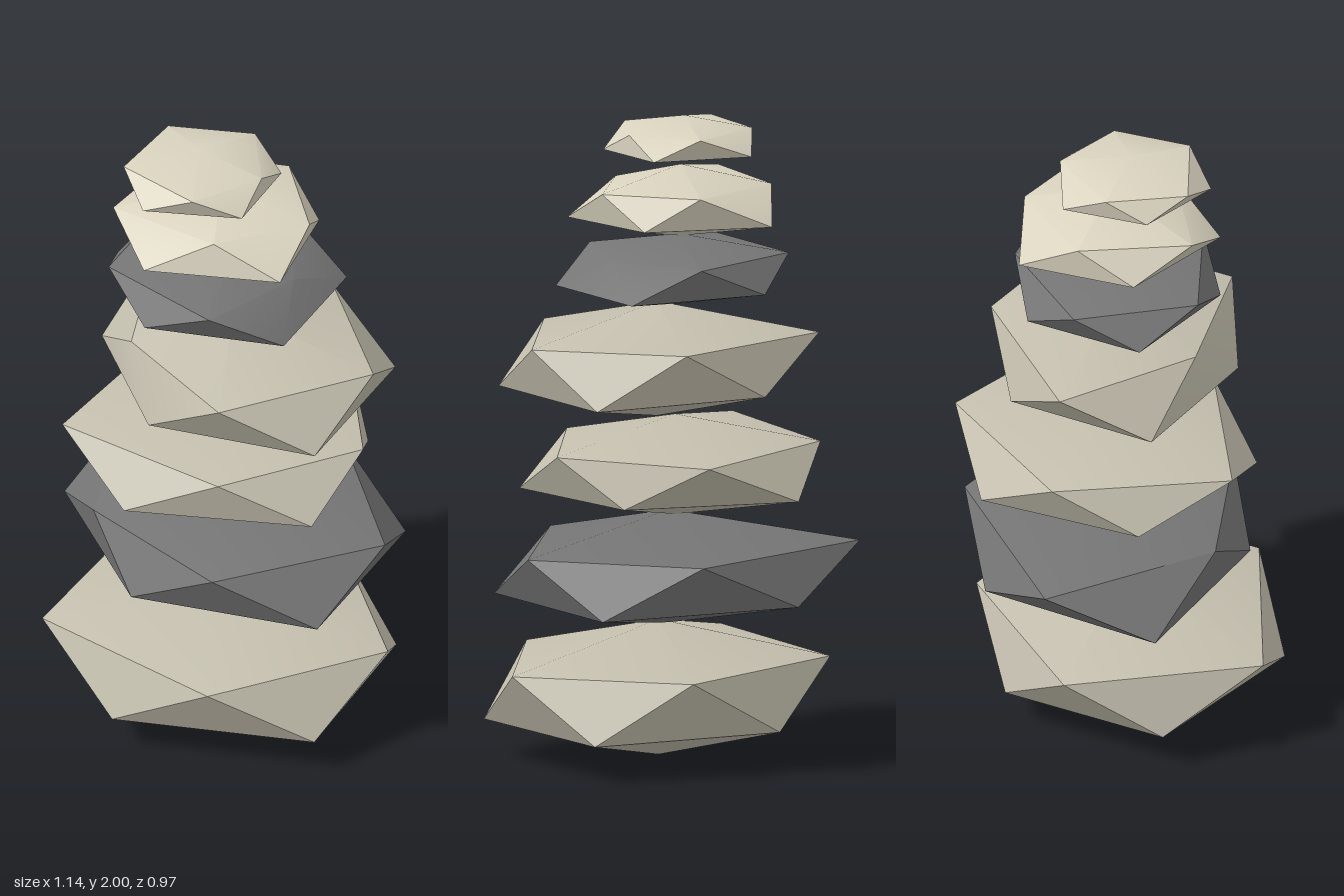
import * as THREE from 'three';
import { toCreasedNormals } from 'three/addons/utils/BufferGeometryUtils.js';

const LIGHT = 0xd8d2be, MID = 0xc4bfae, DARK = 0x757575;

// Corner directions in degrees, shared by every stone; the two rings are staggered
const UPPER = [0, 70, 146, 215, 293];
const LOWER = [33, 109, 181, 250, 328];

// Each stone: bottom and top height, centre [x, z], corner radii of the upper and lower ring
const STONES = [
  { color: MID, y: [0, 0.425], centre: [0.01, 0.03], upper: [0.56, 0.49, 0.57, 0.53, 0.47], lower: [0.54, 0.49, 0.51, 0.45, 0.53] },
  { color: DARK, y: [0.42, 0.775], centre: [0, -0.01], upper: [0.54, 0.44, 0.42, 0.59, 0.47], lower: [0.54, 0.42, 0.57, 0.48, 0.55] },
  { color: MID, y: [0.765, 1.08], centre: [0, -0.04], upper: [0.45, 0.4, 0.53, 0.45, 0.47], lower: [0.48, 0.47, 0.47, 0.46, 0.42] },
  { color: MID, y: [1.07, 1.43], centre: [0.03, 0.01], upper: [0.48, 0.42, 0.32, 0.5, 0.4], lower: [0.49, 0.37, 0.46, 0.4, 0.5] },
  { color: DARK, y: [1.42, 1.64], centre: [-0.03, -0.02], upper: [0.25, 0.33, 0.35, 0.34, 0.31], lower: [0.38, 0.33, 0.36, 0.32, 0.39] },
  { color: LIGHT, y: [1.635, 1.86], centre: [-0.03, -0.03], upper: [0.3, 0.24, 0.34, 0.28, 0.27], lower: [0.35, 0.34, 0.32, 0.34, 0.3] },
  { color: LIGHT, y: [1.855, 2], centre: [-0.08, 0.02], upper: [0.21, 0.22, 0.24, 0.21, 0.22], lower: [0.25, 0.25, 0.23, 0.25, 0.25] },
];

// A flattened, irregular twenty-sided stone
function stoneGeometry({ y: [y0, y1], centre: [cx, cz], upper, lower }) {
  const mid = (y0 + y1) / 2, ringOffset = (y1 - y0) / 2 * 0.447;
  const ring = (radii, angles, y) => radii.flatMap((r, i) => {
    const a = THREE.MathUtils.degToRad(angles[i]);
    return [cx + r * Math.cos(a), y, cz + r * Math.sin(a)];
  });
  const positions = [
    ...ring(upper, UPPER, mid + ringOffset),
    ...ring(lower, LOWER, mid - ringOffset),
    cx, y1, cz,
    cx, y0, cz,
  ];
  const index = [];
  for (let i = 0; i < 5; i++) {
    const n = (i + 1) % 5;
    index.push(10, n, i);            // top cap
    index.push(i, n, 5 + i);         // sides
    index.push(5 + i, n, 5 + n);
    index.push(11, 5 + i, 5 + n);    // underside
  }
  const geometry = new THREE.BufferGeometry();
  geometry.setAttribute('position', new THREE.Float32BufferAttribute(positions, 3));
  geometry.setIndex(index);
  return toCreasedNormals(geometry, Math.PI / 6);
}

export function createModel() {
  const group = new THREE.Group();
  group.name = 'stoneStack';
  STONES.forEach((stone, i) => {
    const mesh = new THREE.Mesh(stoneGeometry(stone), new THREE.MeshStandardMaterial({ color: stone.color }));
    mesh.name = `stone${i + 1}`;
    group.add(mesh);
  });
  return group;
}
